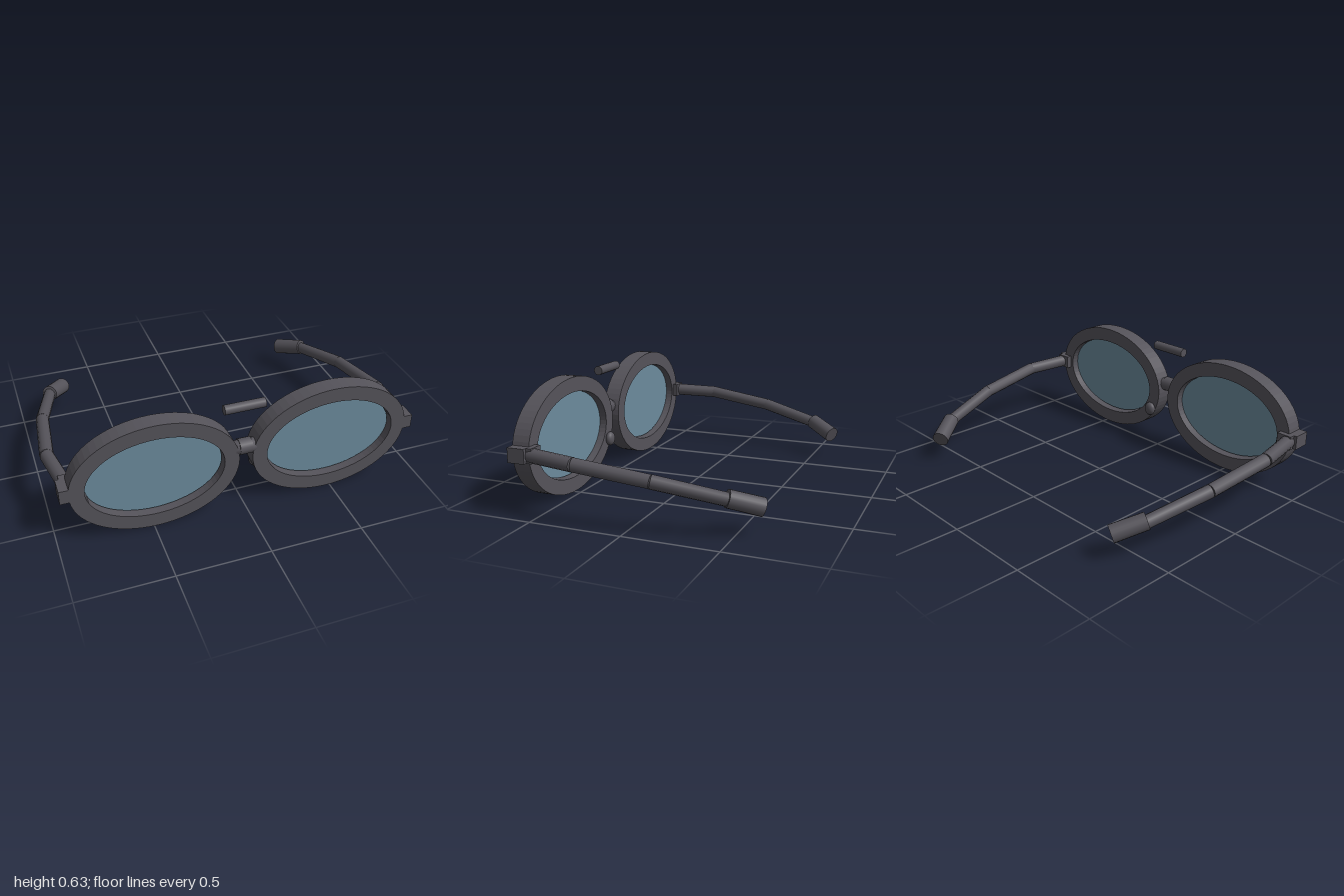
import * as THREE from 'three';

const frameMat = new THREE.MeshStandardMaterial({ color: 0x55535a });
frameMat.name = 'charcoal frame';
const lensMat = new THREE.MeshStandardMaterial({ color: 0x6c8b9d });
lensMat.name = 'blue lens';

function add(parent, name, geometry, material = frameMat, position = [0, 0, 0]) {
  const mesh = new THREE.Mesh(geometry, material);
  mesh.name = name;
  mesh.position.set(...position);
  parent.add(mesh);
  return mesh;
}

// Round bar between two points
function rod(parent, name, a, b, rA, rB = rA, sides = 16) {
  const start = new THREE.Vector3(...a), end = new THREE.Vector3(...b);
  const dir = end.clone().sub(start);
  const mesh = add(parent, name, new THREE.CylinderGeometry(rB, rA, dir.length(), sides));
  mesh.position.copy(start).add(end).multiplyScalar(0.5);
  mesh.quaternion.setFromUnitVectors(new THREE.Vector3(0, 1, 0), dir.normalize());
  return mesh;
}

// Oval ring around each lens
function rimGeometry() {
  const shape = new THREE.Shape().absellipse(0, 0, 0.442, 0.317, 0, Math.PI * 2);
  shape.holes.push(new THREE.Path().absellipse(0, 0, 0.362, 0.235, 0, Math.PI * 2, true));
  return new THREE.ExtrudeGeometry(shape, { depth: 0.096, bevelEnabled: false, curveSegments: 32 });
}

// Thin oval disc, a hair smaller than the rim opening
function lensGeometry() {
  const shape = new THREE.Shape().absellipse(0, 0, 0.358, 0.231, 0, Math.PI * 2);
  return new THREE.ExtrudeGeometry(shape, { depth: 0.015, bevelEnabled: false, curveSegments: 32 });
}

export function createModel() {
  const model = new THREE.Group();
  model.name = 'glasses';

  for (const side of [1, -1]) {
    const label = side > 0 ? 'left' : 'right';
    const half = new THREE.Group();
    half.name = label + 'Side';
    model.add(half);

    add(half, label + 'Rim', rimGeometry(), frameMat, [side * 0.478, 0.317, 0.538]);
    add(half, label + 'Lens', lensGeometry(), lensMat, [side * 0.478, 0.32, 0.578]);

    // Hinge blocks
    add(half, label + 'HingeFront', new THREE.BoxGeometry(0.075, 0.078, 0.096), frameMat, [side * 0.927, 0.32, 0.586]);
    add(half, label + 'HingeBack', new THREE.BoxGeometry(0.085, 0.078, 0.045), frameMat, [side * 0.903, 0.32, 0.53]);

    // Temple arm in three straight pieces, then the thicker ear tip
    const path = [
      [0.918, 0.318, 0.53], [0.961, 0.31, 0.268], [0.922, 0.26, -0.125], [0.826, 0.186, -0.48],
    ].map(([x, y, z]) => [side * x, y, z]);
    const radii = [0.038, 0.037, 0.036, 0.034];
    for (let i = 0; i < 3; i++) {
      rod(half, label + 'Arm' + (i + 1), path[i], path[i + 1], radii[i], radii[i + 1], 12);
    }
    rod(half, label + 'EarTip', [side * 0.828, 0.193, -0.47], [side * 0.731, 0.138, -0.616], 0.045, 0.047, 20);
  }

  // Bridge bowing forward between the rims
  rod(model, 'bridgeCentre', [-0.034, 0.372, 0.601], [0.034, 0.372, 0.601], 0.043);
  for (const side of [1, -1]) {
    rod(model, 'bridgeEnd', [side * 0.025, 0.371, 0.603], [side * 0.08, 0.363, 0.59], 0.04, 0.035);
  }

  // Upper brow bar
  rod(model, 'browBar', [-0.11, 0.608, 0.586], [0.11, 0.608, 0.586], 0.026);

  // Single nose pad behind the left rim
  const pad = add(model, 'nosePad', new THREE.SphereGeometry(1, 20, 14), frameMat, [0.096, 0.205, 0.525]);
  pad.scale.set(0.037, 0.041, 0.025);

  return model;
}
